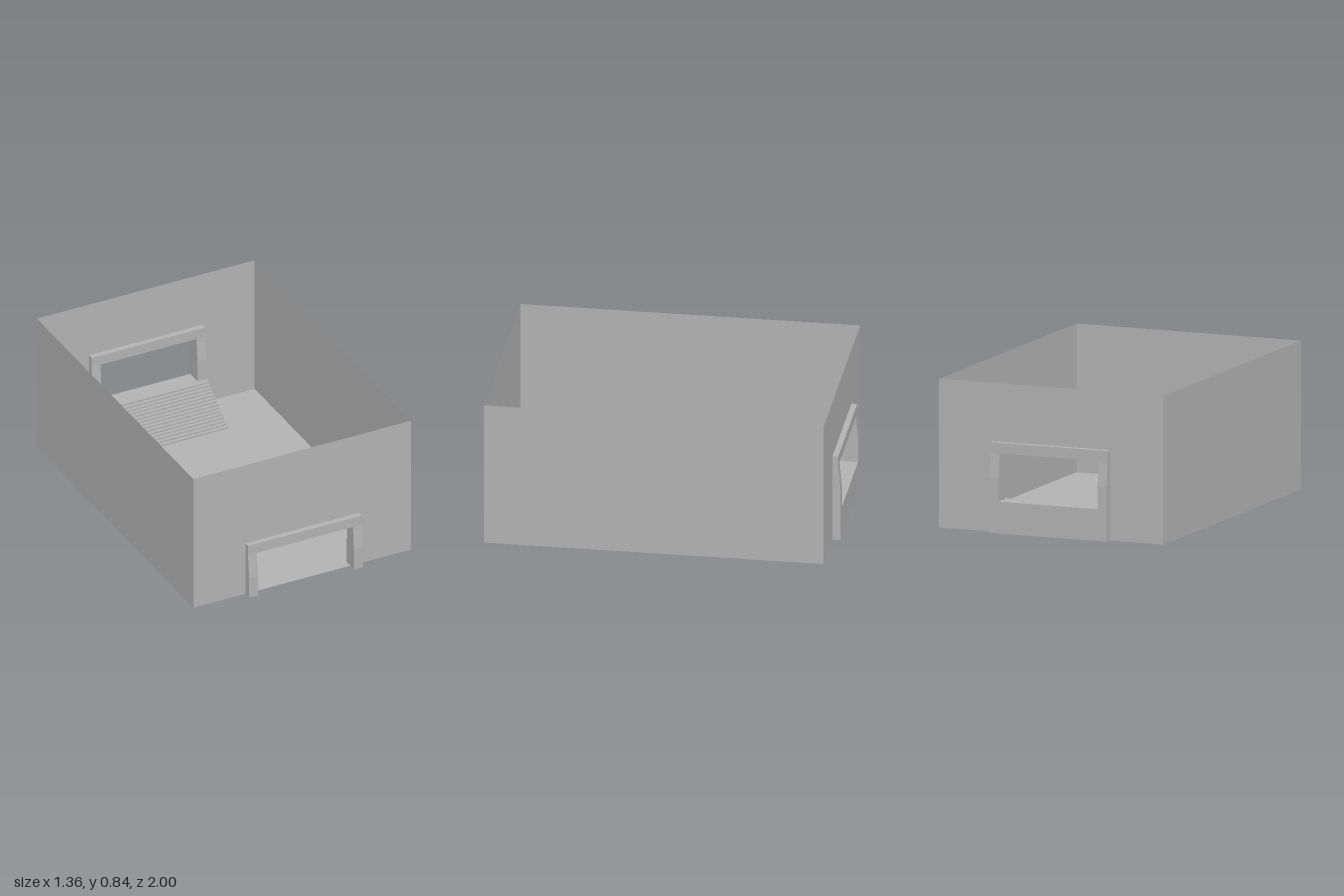
import * as THREE from 'three';

const W = 0.68, H = 0.84, D = 0.955;        // room half width, height, half depth
const OPEN = 0.3, FRAME = 0.355;            // half widths of opening and door frame
const OPEN_H = 0.27, FRAME_H = 0.33;        // heights of opening and door frame
const SILL = 0.18;                          // raised back doorway

const concrete = new THREE.MeshStandardMaterial({ color: 0xb2b2b2 });
concrete.name = 'concrete grey';
const concreteSheet = new THREE.MeshStandardMaterial({ color: 0xb2b2b2, side: THREE.DoubleSide });
concreteSheet.name = 'concrete grey sheet';

function add(parent, name, geometry, material = concrete) {
  const mesh = new THREE.Mesh(geometry, material);
  mesh.name = name;
  parent.add(mesh);
  return mesh;
}

// Extrude a side profile of [z, y] points across x, centred on x
function acrossX(points, width, x = 0) {
  const shape = new THREE.Shape(points.map(([z, y]) => new THREE.Vector2(z, y)));
  return new THREE.ExtrudeGeometry(shape, { depth: width, bevelEnabled: false })
    .rotateY(-Math.PI / 2)
    .translate(x + width / 2, 0, 0);
}

// Thin end wall with a doorway cut up from the floor
function endWall(openHalf, openTop) {
  const outline = [[-W, 0], [-openHalf, 0], [-openHalf, openTop], [openHalf, openTop],
    [openHalf, 0], [W, 0], [W, H], [-W, H]];
  return new THREE.ShapeGeometry(new THREE.Shape(outline.map(([x, y]) => new THREE.Vector2(x, y))));
}

// Two tapered posts and a lintel, centred on the wall plane
function doorFrame(name) {
  const frame = new THREE.Group();
  frame.name = name;
  const foot = 0.045, head = 0.0325, bend = 0.13;
  const profile = [[-foot, 0], [foot, 0], [foot, bend], [head, OPEN_H],
    [head, FRAME_H], [-head, FRAME_H], [-head, OPEN_H], [-foot, bend]];
  for (const side of [-1, 1]) {
    add(frame, side > 0 ? 'leftPost' : 'rightPost',
      acrossX(profile, FRAME - OPEN, side * (FRAME + OPEN) / 2));
  }
  add(frame, 'lintel', new THREE.BoxGeometry(OPEN * 2, FRAME_H - OPEN_H, head * 2))
    .position.y = (FRAME_H + OPEN_H) / 2;
  return frame;
}

// Landing through the back wall, then a flight down to the floor
function stairs() {
  const steps = 15, start = -0.88, end = -0.63;
  const run = (end - start) / steps, rise = SILL / steps;
  const points = [[-1, 0], [-1, SILL], [start, SILL]];
  for (let i = 0; i < steps; i++) {
    const z = start + i * run, y = SILL - (i + 1) * rise;
    points.push([z, y]);
    if (i < steps - 1) points.push([z + run, y]);
  }
  return acrossX(points, FRAME * 2);
}

export function createModel() {
  const model = new THREE.Group();
  model.name = 'openRoom';

  // Floor and thin walls
  add(model, 'floor', new THREE.PlaneGeometry(W * 2, D * 2).rotateX(-Math.PI / 2), concreteSheet);
  for (const side of [-1, 1]) {
    add(model, side > 0 ? 'leftWall' : 'rightWall',
      new THREE.PlaneGeometry(D * 2, H).rotateY(side * Math.PI / 2).translate(side * W, H / 2, 0),
      concreteSheet);
  }
  add(model, 'frontWall', endWall(OPEN, OPEN_H), concreteSheet).position.z = D;
  add(model, 'backWall', endWall(OPEN, SILL + OPEN_H), concreteSheet).position.z = -D;

  // Doorways
  const front = doorFrame('frontDoorFrame');
  front.position.z = D;
  const back = doorFrame('backDoorFrame');
  back.position.set(0, SILL, -D);
  model.add(front, back);

  add(model, 'stairs', stairs());
  return model;
}
